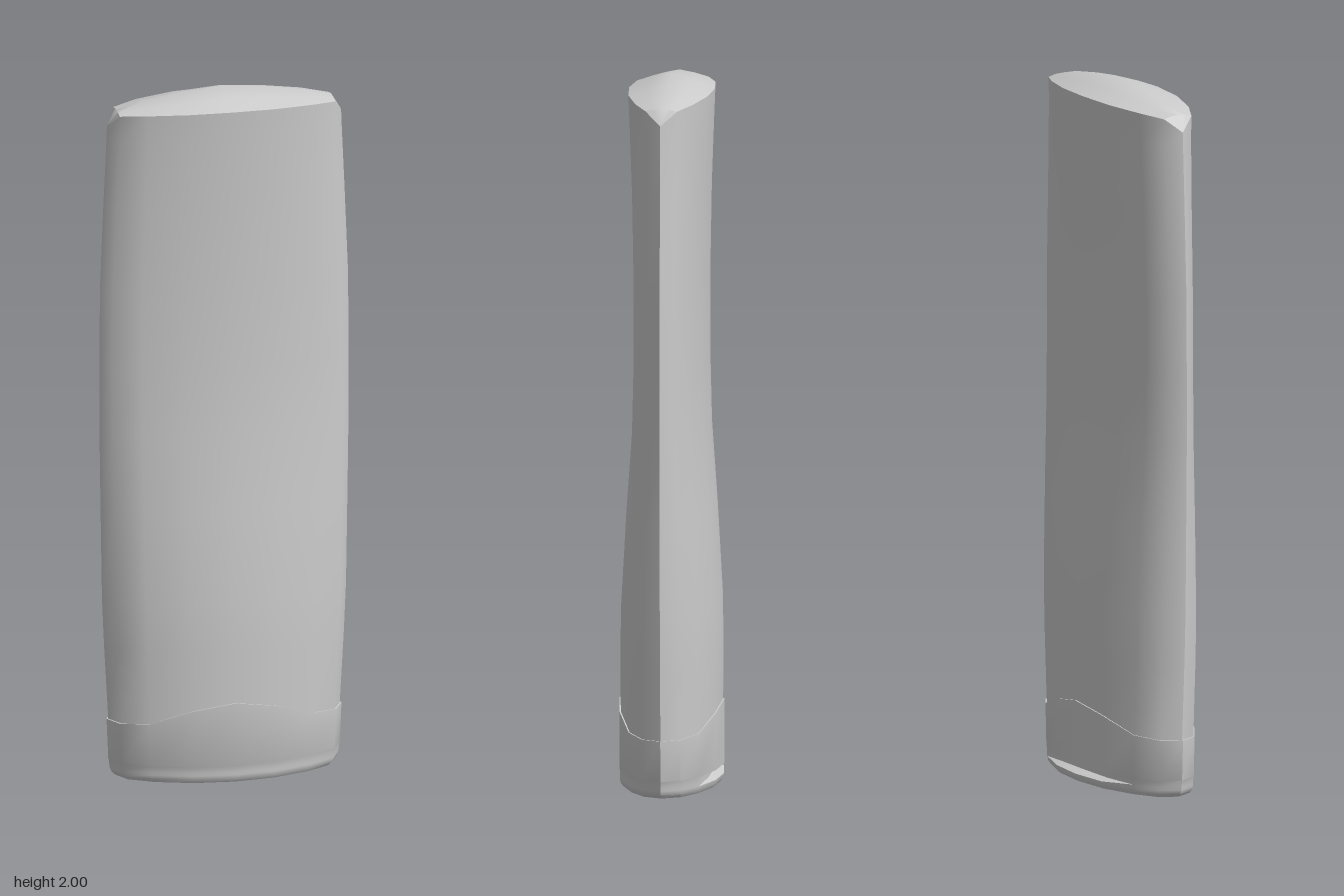
import * as THREE from 'three';
import { toCreasedNormals } from 'three/addons/utils/BufferGeometryUtils.js';

// Quarter of the lens-shaped cross-section (unit width and depth), from side edge to centre
const QX = [1, 0.92, 0.7, 0.365, 0];
const QZ = [0, 0.37, 0.67, 0.92, 1];
// Heights along the same quarter
const SEAM = [0.165, 0.165, 0.172, 0.212, 0.232];
const RIM = [1.905, 1.943, 1.95, 1.955, 1.957];
const RIDGE = [1.905, 1.95, 1.969, 1.987, 2.0];
const GROOVE = [0, 0, 0, 0.02, 0.03];

// Full 16-sided section, mirrored from the quarter
const COLS = Array.from({ length: 16 }, (_, c) => {
  const m = c % 8;
  const q = m <= 4 ? m : 8 - m;
  const sx = c <= 4 || c >= 12 ? 1 : -1;
  const sz = c <= 8 ? 1 : -1;
  return { q, x: sx * QX[q], z: sz * QZ[q] };
});

// One ring: half width, half depth, height (number or table), optional inset on the back
function ring(w, d, y, inset) {
  return COLS.map(({ q, x, z }) => [
    x * w,
    Array.isArray(y) ? y[q] : y,
    z * d + (inset && z < 0 ? inset[q] : 0),
  ]);
}

// Skin a stack of rings from bottom to top
function loft(rings, crease) {
  const n = COLS.length;
  const index = [];
  for (let r = 0; r < rings.length - 1; r++) {
    for (let c = 0; c < n; c++) {
      const a = r * n + c, b = r * n + ((c + 1) % n);
      index.push(a, a + n, b, b, a + n, b + n);
    }
  }
  const geo = new THREE.BufferGeometry();
  geo.setAttribute('position', new THREE.Float32BufferAttribute(rings.flat(2), 3));
  geo.setIndex(index);
  return toCreasedNormals(geo, crease);
}

export function createModel() {
  const group = new THREE.Group();
  const material = new THREE.MeshStandardMaterial({ color: 0xcccccc });
  const add = (name, geo) => {
    const mesh = new THREE.Mesh(geo, material);
    mesh.name = name;
    group.add(mesh);
  };

  // Bottle body: waisted in depth, slightly bulged in width
  const body = [
    [0.331, 0.143, SEAM],
    [0.343, 0.144, 0.38],
    [0.349, 0.141, 0.52],
    [0.353, 0.125, 0.78],
    [0.356, 0.108, 1.0],
    [0.356, 0.103, 1.2],
    [0.355, 0.103, 1.42],
    [0.345, 0.108, 1.67],
    [0.336, 0.116, 1.87],
    [0.335, 0.12, RIM],
  ].map((row) => ring(...row));
  add('bottleBody', loft(body, 0.7));

  // Domed end: slopes from the rim up to a ridge along x
  const dome = [
    ring(0.335, 0.12, RIM),
    ring(0.335, 0.06, RIM.map((y, i) => (y + RIDGE[i]) / 2 + (i ? 0.002 : 0))),
    ring(0.335, 0, RIDGE),
  ];
  add('bottleEnd', loft(dome, 0.8));

  // Flip cap: flat base, rounded foot, thumb groove at the back, ledge at the wavy seam
  const cap = [
    ring(0.3, 0, 0),
    ring(0.312, 0.137, 0),
    ring(0.322, 0.144, 0.01),
    ring(0.327, 0.146, 0.022),
    ring(0.328, 0.146, 0.03, GROOVE),
    ring(0.33, 0.146, 0.048, GROOVE),
    ring(0.331, 0.147, 0.05),
    ring(0.336, 0.147, SEAM),
    ring(0.325, 0.138, SEAM),
  ];
  add('flipCap', loft(cap, 0.7));

  return group;
}
